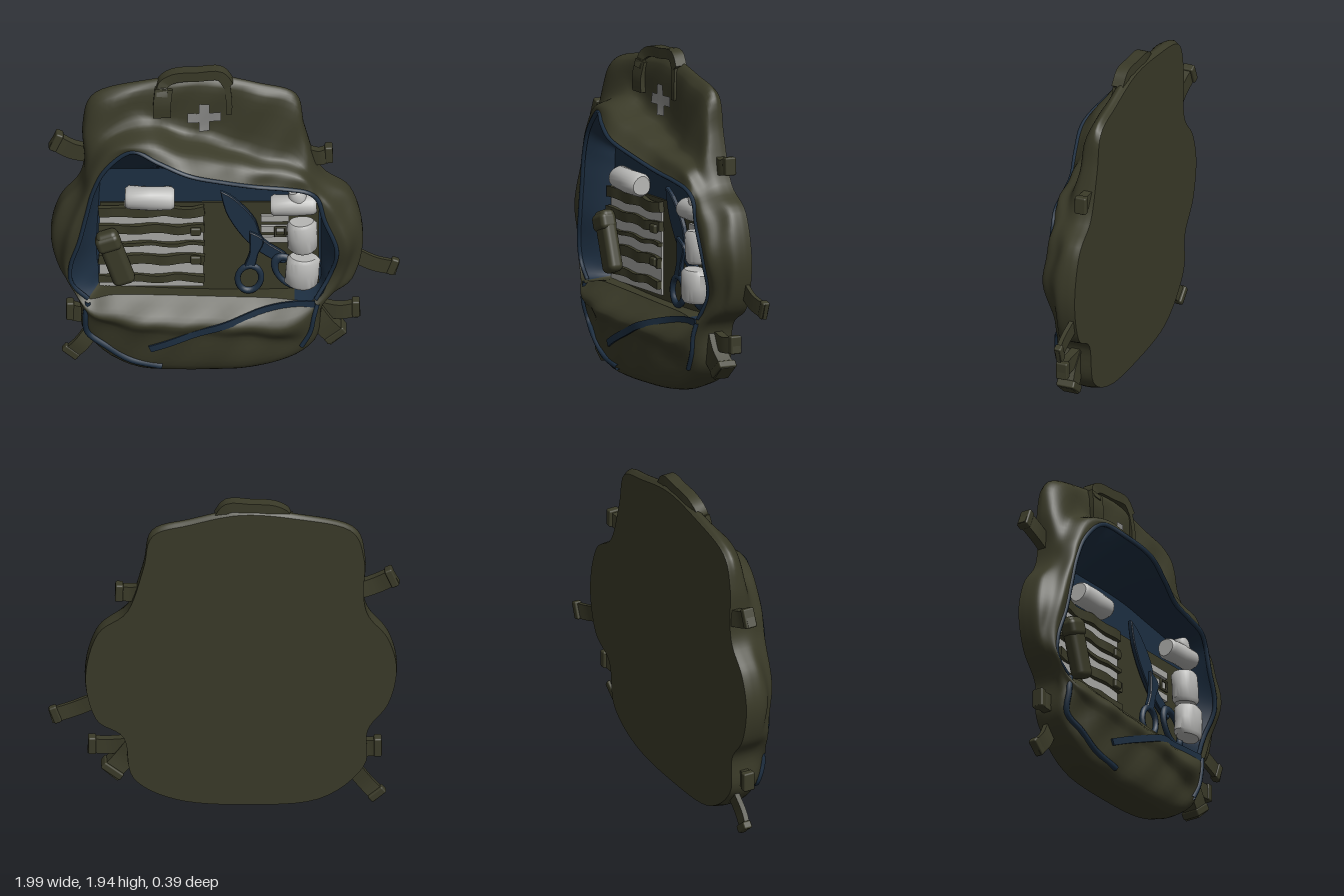
import * as THREE from 'three';
import { toCreasedNormals } from 'three/addons/utils/BufferGeometryUtils.js';
import { RoundedBoxGeometry } from 'three/addons/geometries/RoundedBoxGeometry.js';

const V = (x, y, z = 0) => new THREE.Vector3(x, y, z);
const BACK = -0.19, FLOOR = -0.13, N = 138;

// Matching stations around the bag, from the right side over the top and round the bottom
const OUTLINE = [[-.98, .88], [-.93, 1.08], [-.82, 1.22], [-.79, 1.36], [-.8, 1.58], [-.73, 1.78], [-.42, 1.865], [-.1, 1.9],
  [.2, 1.84], [.41, 1.77], [.46, 1.55], [.55, 1.27], [.72, 1.13], [.79, .85], [.73, .58], [.57, .46], [.52, .2],
  [.28, .05], [-.1, .01], [-.53, .04], [-.79, .25], [-.81, .49], [-.93, .66]];
const EDGE_Z = [-.06, -.06, -.07, -.08, -.09, -.1, -.11, -.11, -.11, -.1, -.09, -.09, -.08, -.07, -.07, -.05, -.02,
  .02, .03, .02, -.02, -.05, -.06];
const SWELL = [[-.92, .88, -.02], [-.87, 1.06, -.01], [-.8, 1.22, -.01], [-.77, 1.36, -.02], [-.68, 1.54, -.03],
  [-.46, 1.63, -.06], [-.26, 1.575, -.09], [-.04, 1.51, -.09], [.16, 1.45, -.07], [.35, 1.41, -.04], [.45, 1.36, -.03],
  [.54, 1.24, -.02], [.68, 1.08, -.02], [.74, .85, -.02], [.69, .62, -.04], [.56, .46, 0], [.44, .26, .04], [.1, .28, .065],
  [-.25, .3, .08], [-.55, .33, .07], [-.75, .4, .03], [-.85, .55, -.01], [-.92, .7, -.02]];
const RIM = [[-.82, .9, .03], [-.78, 1.08, .04], [-.74, 1.25, .05], [-.67, 1.4, .06], [-.52, 1.53, .08], [-.37, 1.49, .14],
  [-.2, 1.43, .18], [0, 1.36, .14], [.18, 1.3, .09], [.36, 1.27, .07], [.48, 1.24, .06], [.53, 1.19, .05],
  [.57, 1.05, .05], [.64, .84, .04], [.6, .65, -.01], [.52, .5, .01], [.25, .5, -.01], [-.05, .51, -.01],
  [-.35, .52, -.01], [-.62, .53, 0], [-.77, .51, .01], [-.86, .6, 0], [-.87, .72, .01]];
const INNER = [[-.72, .85], [-.71, 1.05], [-.7, 1.2], [-.68, 1.28], [-.55, 1.29], [-.4, 1.29], [-.2, 1.29], [0, 1.28],
  [.2, 1.25], [.4, 1.22], [.51, 1.2], [.54, 1.15], [.55, 1.03], [.55, .84], [.55, .66], [.52, .52], [.25, .49],
  [-.05, .49], [-.35, .5], [-.62, .52], [-.7, .54], [-.71, .63], [-.72, .72]];

const loop = (pts, z) => new THREE.CatmullRomCurve3(
  pts.map((p, i) => V(p[0], p[1], z ? z[i] : p[2] ?? 0)), true, 'catmullrom');

// Skin through rings of equal length, each ring closed on itself
function loft(rings) {
  const n = rings[0].length, pos = [], idx = [];
  rings.forEach(r => r.forEach(p => pos.push(p.x, p.y, p.z)));
  for (let i = 0; i < rings.length - 1; i++) for (let j = 0; j < n; j++) {
    const a = i * n + j, b = i * n + (j + 1) % n;
    idx.push(a, a + n, b, b, a + n, b + n);
  }
  const g = new THREE.BufferGeometry();
  g.setAttribute('position', new THREE.Float32BufferAttribute(pos, 3));
  g.setIndex(idx);
  g.computeVertexNormals();
  return g;
}

// Flat webbing along a curve, lying across the z direction
function strapGeometry(pts, w, t) {
  const c = new THREE.CatmullRomCurve3(pts), n = 20, rings = [], z = V(0, 0, 1);
  for (let i = 0; i <= n; i++) {
    const p = c.getPoint(i / n), s = V(0, 0, 1).cross(c.getTangent(i / n)).normalize();
    const ring = [[1, 1], [1, -1], [-1, -1], [-1, 1]].map(([a, b]) =>
      p.clone().addScaledVector(s, a * w / 2).addScaledVector(z, b * t / 2));
    if (i === 0) rings.push(ring.map(() => p.clone()));
    rings.push(ring);
    if (i === n) rings.push(ring.map(() => p.clone()));
  }
  return toCreasedNormals(loft(rings), 0.7);
}

export function createModel() {
  const bag = new THREE.Group();
  const mat = (name, color) => {
    const m = new THREE.MeshStandardMaterial({ color, side: THREE.DoubleSide });
    m.name = name;
    return m;
  };
  const olive = mat('olive fabric', 0x3a3a28), navy = mat('navy lining', 0x1d2f42);
  const white = mat('white gauze', 0xb8b8b6), pale = mat('pale pads', 0xa8a8a4), grey = mat('grey patch', 0x888886);
  const add = (name, geo, m, x = 0, y = 0, z = 0, rz = 0) => {
    const mesh = new THREE.Mesh(geo, m);
    mesh.name = name;
    mesh.position.set(x, y, z);
    mesh.rotation.z = rz;
    bag.add(mesh);
    return mesh;
  };

  // Soft shell: flat back, swelling sides, hood and lower flap, ending at the opening
  const [oC, eC, sC, rC, iC] = [loop(OUTLINE), loop(OUTLINE, EDGE_Z), loop(SWELL), loop(RIM), loop(INNER)];
  const STEPS = 30, shell = Array.from({ length: STEPS + 1 }, () => []), lining = [[], [], [], []];
  const backPts = [], floorPts = [];
  for (let j = 0; j < N; j++) {
    const t = j / N, o = oC.getPoint(t), e = eC.getPoint(t), s = sC.getPoint(t), r = rC.getPoint(t), f = iC.getPoint(t);
    const b = o.clone().lerp(s, 0.06).setZ(BACK), edge = o.clone().setZ((BACK + e.z) / 2 - 0.01);
    const front = e.clone().lerp(s, 0.14).setZ(e.z);
    const bulge = s.clone().lerp(r, 0.4).add(V(0, 0, 0.25 * s.distanceTo(r)));
    const c = new THREE.CatmullRomCurve3([b, edge, front, s, bulge, r], false, 'centripetal');
    for (let i = 0; i <= STEPS; i++) {
      const v = i / STEPS, p = c.getPoint(v), k = Math.max(0, Math.sin(Math.PI * (v - 0.3) / 0.7));
      p.z += k * (0.012 * Math.sin(9 * p.x + 6 * p.y) * Math.sin(8 * p.y - 5 * p.x) + 0.008 * Math.sin(23 * p.x - 16 * p.y));
      shell[i].push(p);
    }
    backPts.push(new THREE.Vector2(-b.x, b.y));
    floorPts.push(new THREE.Vector2(f.x, f.y));
    f.z = FLOOR;
    lining.forEach((ring, i) => ring.push(r.clone().lerp(f, i / 3)));
  }
  const body = add('shell', loft(shell), olive);
  add('backPanel', new THREE.ShapeGeometry(new THREE.Shape(backPts)).rotateY(Math.PI), olive, 0, 0, BACK);
  add('compartmentBack', new THREE.ShapeGeometry(new THREE.Shape(floorPts)), navy, 0, 0, FLOOR);

  // Navy lining, olive along the inside of the lower flap
  const inside = loft(lining);
  for (let i = 0; i < 3; i++) [[0, 93, 0], [93, 120, 1], [120, N, 0]].forEach(([from, to, m]) =>
    inside.addGroup((i * N + from) * 6, (to - from) * 6, m));
  add('lining', inside, [navy, olive]);

  // Height of the shell front, for draping details on it
  const ray = new THREE.Raycaster();
  body.updateMatrixWorld();
  const surf = (x, y) => {
    ray.set(V(x, y, 2), V(0, 0, -1));
    return ray.intersectObject(body)[0]?.point.z ?? -0.1;
  };
  const on = (list, lift) => list.map(([x, y]) => V(x, y, surf(x, y) + lift));

  // Navy edging and zips
  const tube = (name, pts, r) =>
    add(name, new THREE.TubeGeometry(new THREE.CatmullRomCurve3(pts), 120, r, 6, false), navy);
  tube('openingTrim', [...RIM.slice(20), ...RIM.slice(0, 16)].map(p => V(...p)), 0.013);
  const zip = [];
  for (let i = 0; i <= 12; i++) zip.push([-.42 + i * .078, .21 + .27 * Math.sin(i / 12 * 1.57)]);
  add('flapZip', strapGeometry(on(zip, 0.007), 0.04, 0.012), navy);
  tube('rightFlapTrim',
    on([[-.77, .5], [-.785, .4], [-.77, .28], [-.66, .2], [-.53, .12], [-.35, .08]], 0.006), 0.018);
  tube('leftFlapTrim', on([[.53, .48], [.51, .4], [.49, .3], [.44, .2]], 0.006), 0.014);

  // Cross patch draped on the hood
  [[.06, .18, -.11, 1.65], [.065, .06, -.172, 1.65], [.065, .06, -.048, 1.65]].forEach(([w, h, x, y]) => {
    const g = new THREE.PlaneGeometry(w, h, 4, 8).translate(x, y, 0), p = g.attributes.position;
    for (let i = 0; i < p.count; i++) p.setZ(i, surf(p.getX(i), p.getY(i)) + 0.009);
    g.computeVertexNormals();
    add('crossPatch', g, grey);
  });

  // Carrying handle
  add('handleRightStrap', strapGeometry(on([[-.35, 1.66], [-.35, 1.74], [-.34, 1.84]], .012), .1, .03), olive);
  add('handleLeftStrap', strapGeometry(on([[.03, 1.67], [.03, 1.75], [.02, 1.85]], .006), .035, .02), olive);
  add('handleGrip', strapGeometry([V(-.35, 1.8, -.11), V(-.345, 1.86, -.135), V(-.28, 1.9, -.145), V(-.15, 1.91, -.145),
    V(-.02, 1.915, -.145), V(.03, 1.85, -.14)], .06, .07), olive);

  // Side straps: start, end, width, depth position, thickness
  [['upperRightStrap', -.76, 1.38, -.97, 1.47, .1, -.16, .05], ['upperLeftStrap', .47, 1.375, .61, 1.38, .09, -.15, .05],
    ['middleLeftStrap', .72, .7, .985, .6, .09, -.17, .025], ['lowerLeftStrap', .55, .38, .77, .38, .09, -.1, .05],
    ['bottomLeftStrap', .48, .42, .65, .2, .12, -.09, .09], ['lowerRightStrap', -.74, .36, -.885, .36, .1, -.12, .05],
    ['bottomRightStrap', -.74, .22, -.88, .05, .09, -.14, .03]
  ].forEach(([name, x0, y0, x1, y1, w, z, t]) => {
    const a = V(x0, y0, z), b = V(x1, y1, z), mid = a.clone().lerp(b, .5).add(V(0, -.012, .012));
    add(name, strapGeometry([a, mid, b], w, t), olive);
    const end = a.clone().lerp(b, .9);
    add(name + 'End', new RoundedBoxGeometry(.045, w + .015, t + .02, 2, .01), olive, end.x, end.y, z,
      Math.atan2(y1 - y0, x1 - x0));
  });

  // Organiser panel with pale pads under webbing loops
  add('organiserPanel', new THREE.BoxGeometry(1.24, .58, .012), olive, -.08, .78, FLOOR + .006);
  add('palePads', new THREE.BoxGeometry(.59, .48, .02), pale, -.41, .76, FLOOR + .015);
  [[1.025, .06], [.912, .055], [.812, .022], [.71, .06], [.585, .045]].forEach(([y, w], k) => {
    const pts = Array.from({ length: 9 }, (_, i) =>
      V(-.71 + i * .075, y + .006 * Math.sin(i * 1.7 + k), FLOOR + .035 + .008 * Math.sin(i * 2.1 + k)));
    add('webbingLoop', strapGeometry(pts, w, .03), olive);
  });
  [.9, .71].forEach(y => add('webbingClip', new RoundedBoxGeometry(.06, .05, .03, 2, .01), olive, -.16, y, FLOOR + .05));
  add('penlightPouch', new RoundedBoxGeometry(.13, .36, .09, 3, .035), olive, -.615, .755, -.04, .33);
  add('penlightPouchFlap', new RoundedBoxGeometry(.14, .1, .1, 3, .03), olive, -.655, .86, -.035, .33);
  [.97, .9, .83].forEach(y => add('smallPad', new THREE.BoxGeometry(.16, .04, .02), pale, .29, y, FLOOR + .02));

  // Rolled bandages, slightly lumpy
  const roll = (x, y, z, r, len, rz) => {
    const h = len / 2, prof = [[0, -h], [r * .8, -h], [r, -h + .02], [r, 0], [r, h - .02], [r * .8, h], [0, h]];
    const g = new THREE.LatheGeometry(prof.map(p => new THREE.Vector2(...p)), 24), p = g.attributes.position;
    for (let i = 0; i < p.count; i++) {
      const k = 1 + .04 * Math.sin(3 * Math.atan2(p.getZ(i), p.getX(i)) + 30 * p.getY(i));
      p.setX(i, p.getX(i) * k).setZ(i, p.getZ(i) * k * Math.min(1, .07 / r));
    }
    g.computeVertexNormals();
    add('bandageRoll', toCreasedNormals(g, .8), white, x, y, z, rz);
  };
  roll(-.42, 1.13, -.07, .068, .28, Math.PI / 2 - .03);
  roll(.395, 1.1, -.04, .062, .26, Math.PI / 2 + .04);
  roll(.42, 1.15, -.04, .05, .1, .3);
  roll(.445, .9, -.03, .085, .19, .05);
  roll(.445, .68, -.008, .095, .19, -.06);

  // Buckle beside the bandages
  add('buckle', new THREE.TorusGeometry(.04, .009, 6, 4), olive, .32, .89, FLOOR + .04, Math.PI / 4);

  // Scissors
  const plate = (name, pts, z) => add(name, new THREE.ExtrudeGeometry(
    new THREE.Shape(new THREE.SplineCurve(pts.map(p => new THREE.Vector2(...p))).getPoints(30)),
    { depth: .02, bevelSize: .005, bevelThickness: .005, bevelSegments: 1 }), navy, 0, 0, z);
  plate('scissorBlade', [[-.015, 1.16], [.06, 1.11], [.17, .98], [.22, .84], [.35, .74], [.33, .69], [.2, .77],
    [.1, .88], [.02, 1.02], [-.015, 1.16]], -.1);
  plate('scissorShank', [[.15, .9], [.22, .85], [.19, .76], [.17, .68], [.12, .67], [.15, .77], [.15, .9]], -.08);
  [[.145, .595, .1, -.15], [.37, .64, .13, .62]].forEach(([x, y, h, rz]) => {
    const ring = add('scissorRing', new THREE.TorusGeometry(.07, .018, 8, 28), navy, x, y, -.07, rz);
    ring.scale.set(.95, h / .085, 1);
  });
  return bag;
}
